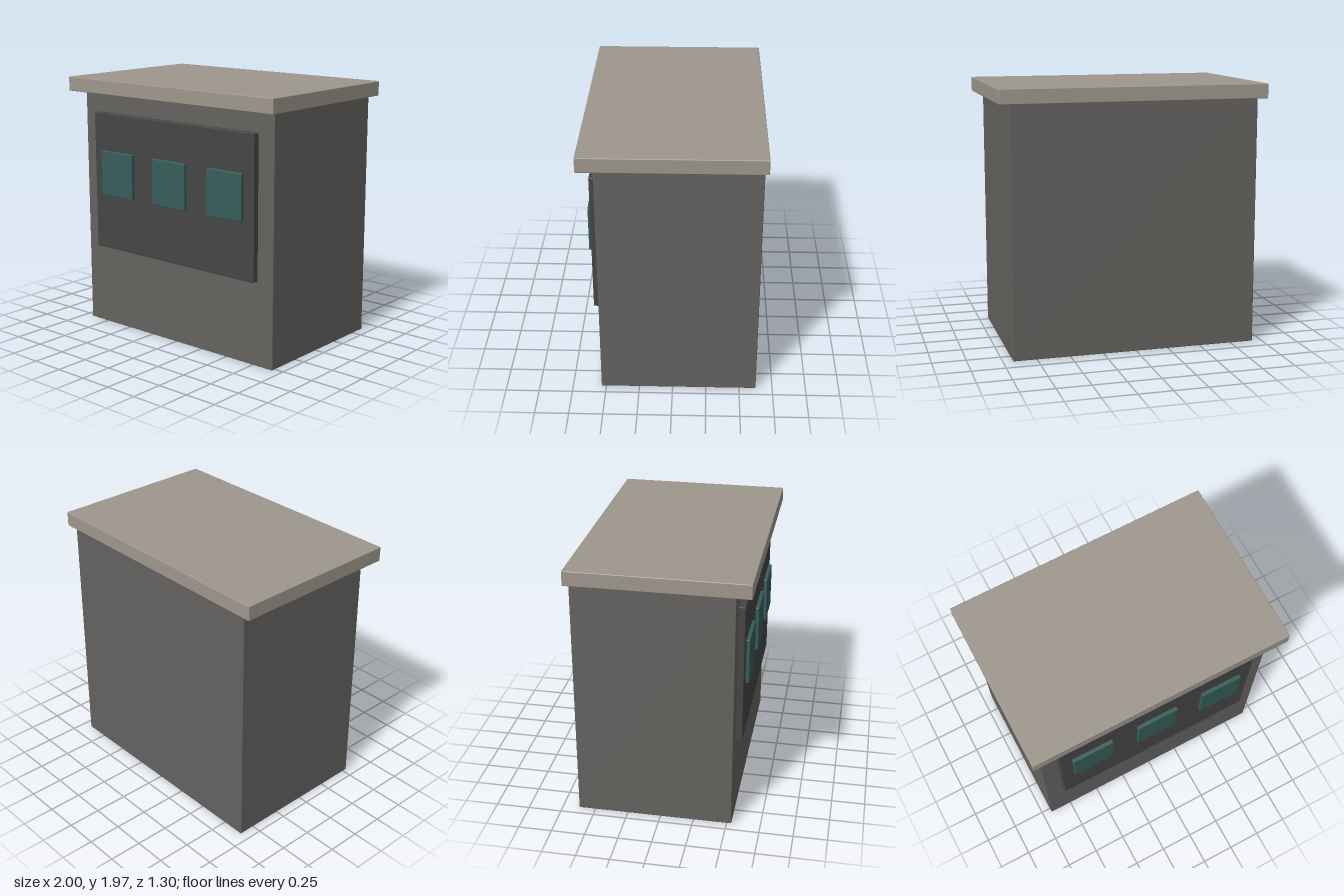
import * as THREE from 'three';
import { RoundedBoxGeometry } from 'three/addons/geometries/RoundedBoxGeometry.js';

const material = (name, color) => {
  const m = new THREE.MeshStandardMaterial({ color });
  m.name = name;
  return m;
};

// Box given by its min and max corners, with slightly eased edges
function block(name, mat, [x0, y0, z0], [x1, y1, z1]) {
  const geometry = new RoundedBoxGeometry(x1 - x0, y1 - y0, z1 - z0, 2, 0.006);
  const mesh = new THREE.Mesh(geometry, mat);
  mesh.name = name;
  mesh.position.set((x0 + x1) / 2, (y0 + y1) / 2, (z0 + z1) / 2);
  return mesh;
}

export function createModel() {
  const wall = material('dark grey wall', 0x656360);
  const roofStone = material('warm grey roof', 0x9e978d);
  const panelGrey = material('charcoal panel', 0x464646);
  const glass = material('teal glass', 0x365d58);

  const model = new THREE.Group();
  model.name = 'kiosk';

  // Main body and overhanging roof slab
  model.add(block('body', wall, [-0.928, 0, -0.625], [0.928, 1.87, 0.535]));
  model.add(block('roof', roofStone, [-1, 1.858, -0.65], [1, 1.968, 0.65]));

  // Raised front panel
  model.add(block('frontPanel', panelGrey, [-0.79, 0.635, 0.52], [0.79, 1.703, 0.583]));

  // Row of three windows standing proud of the panel
  const windows = new THREE.Group();
  windows.name = 'windows';
  for (const i of [-1, 0, 1]) {
    const x = i * 0.534;
    windows.add(block('window', glass, [x - 0.163, 1.066, 0.57], [x + 0.163, 1.414, 0.61]));
  }
  model.add(windows);
  return model;
}
